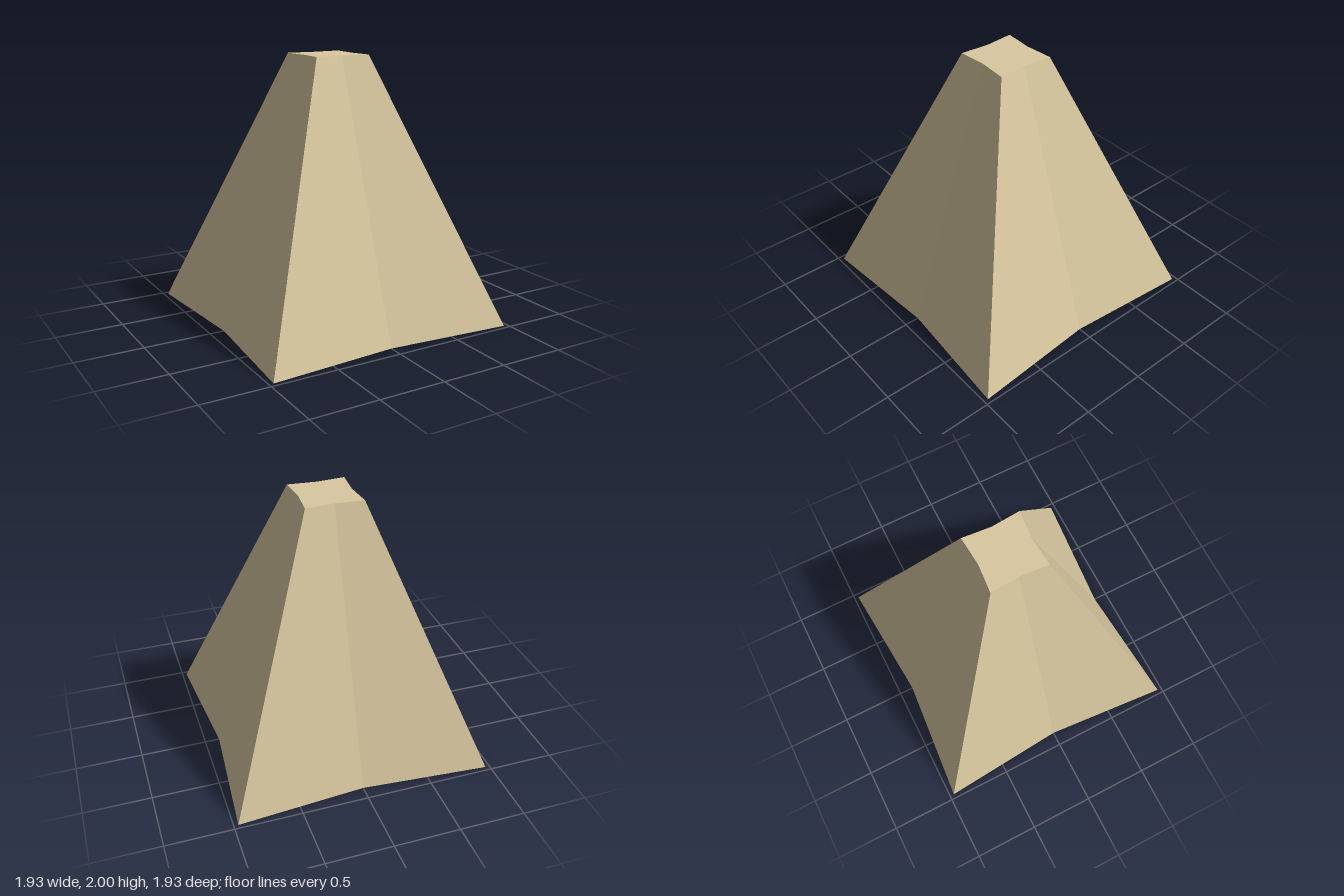
import * as THREE from 'three';

// half-widths at the corners and at the creased middle of each side
const BASE = { corner: 0.967, middle: 0.89 };
const TOP = { corner: 0.218, middle: 0.2 };
const HEIGHT = 2;

export function createModel() {
  const group = new THREE.Group();
  group.name = 'truncatedPyramid';

  const sandstone = new THREE.MeshStandardMaterial({ color: 0xd9c8a0 });
  sandstone.name = 'sandstone';

  // eight-sided frustum reshaped into a square one with inward-creased sides
  const geometry = new THREE.CylinderGeometry(1, 1, HEIGHT, 8).toNonIndexed();
  geometry.translate(0, HEIGHT / 2, 0);
  const p = geometry.attributes.position;
  const side = (v) => (Math.abs(v) < 1e-3 ? 0 : Math.sign(v));
  for (let i = 0; i < p.count; i++) {
    const ring = p.getY(i) > HEIGHT / 2 ? TOP : BASE;
    const sx = side(p.getX(i));
    const sz = side(p.getZ(i));
    const r = sx && sz ? ring.corner : ring.middle;
    p.setXYZ(i, sx * r, p.getY(i), sz * r);
  }
  geometry.computeVertexNormals(); // flat facets

  const body = new THREE.Mesh(geometry, sandstone);
  body.name = 'pyramidBody';
  group.add(body);
  return group;
}
